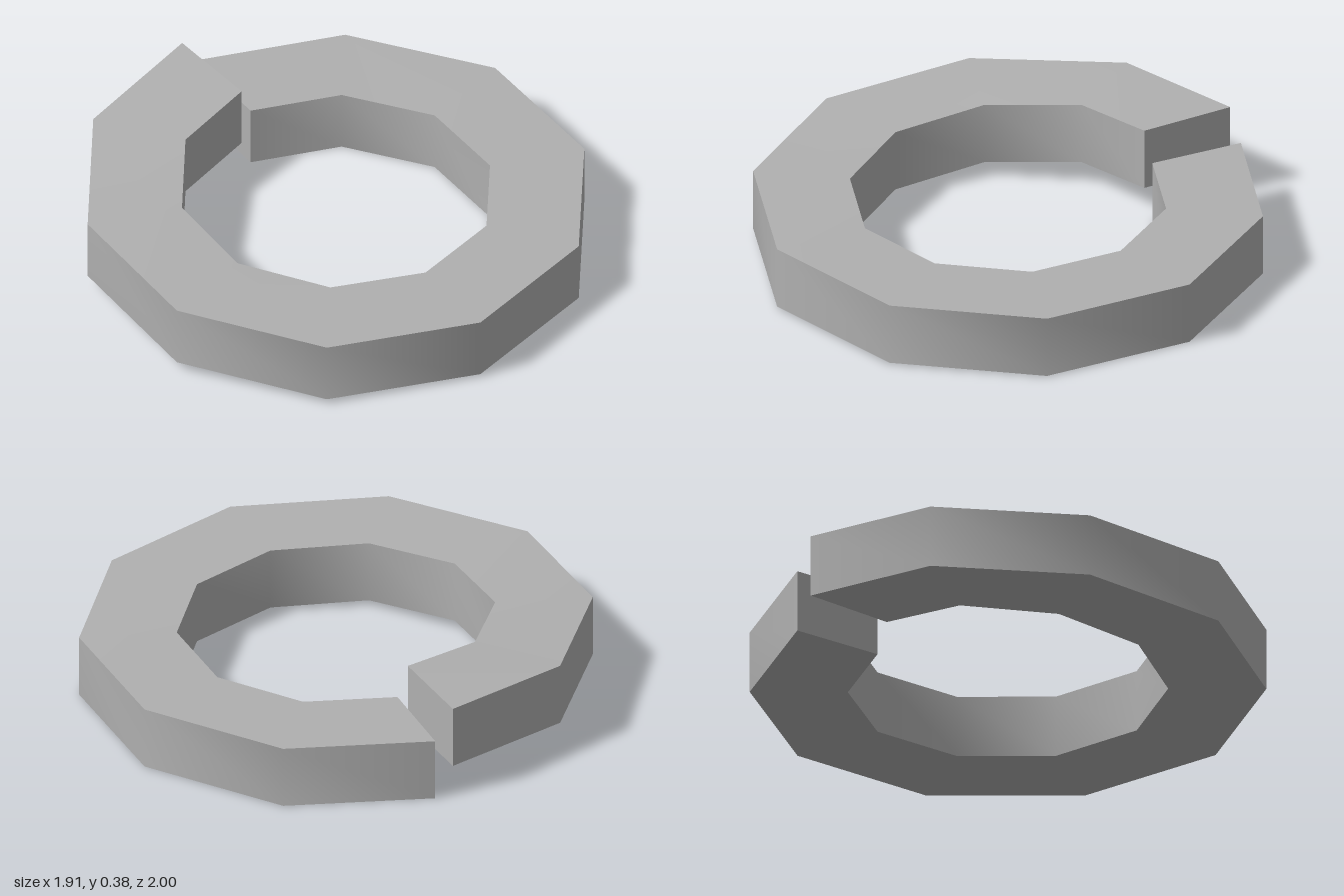
import * as THREE from 'three';

const THICKNESS = 0.253;

// Sections along the split ring: [angle in degrees, height of underside, outer radius, inner radius]
const SECTIONS = [
  [199.5, 0, 0.996, 0.617], [234, 0, 1, 0.62], [270, 0.002, 1, 0.62],
  [306, 0.004, 1, 0.62], [342, 0.007, 1, 0.62], [378, 0.012, 1, 0.62],
  [414, 0.021, 1, 0.62], [450, 0.038, 1, 0.62], [486, 0.063, 1, 0.62],
  [522, 0.098, 1, 0.62], [555, 0.122, 0.99, 0.608],
];

// Four corners of a section: outer bottom, outer top, inner top, inner bottom
function corners([deg, y, outer, inner]) {
  const a = THREE.MathUtils.degToRad(deg);
  const at = (r, h) => [r * Math.cos(a), h, r * Math.sin(a)];
  return [at(outer, y), at(outer, y + THICKNESS), at(inner, y + THICKNESS), at(inner, y)];
}

function ringGeometry() {
  const rings = SECTIONS.map(corners);
  const positions = [], index = [];

  // Each side is its own strip, so it is smooth along the ring and sharp at its edges
  for (let k = 0; k < 4; k++) {
    const base = positions.length / 3;
    rings.forEach((ring, i) => {
      positions.push(...ring[k], ...ring[(k + 1) % 4]);
      if (i === rings.length - 1) return;
      const p = base + 2 * i;
      index.push(p, p + 1, p + 3, p, p + 3, p + 2);
    });
  }

  // Flat end faces at the split
  for (const cap of [[...rings[0]].reverse(), rings[rings.length - 1]]) {
    const p = positions.length / 3;
    positions.push(...cap.flat());
    index.push(p, p + 1, p + 2, p, p + 2, p + 3);
  }

  const geometry = new THREE.BufferGeometry();
  geometry.setAttribute('position', new THREE.Float32BufferAttribute(positions, 3));
  geometry.setIndex(index);
  geometry.computeVertexNormals();
  return geometry;
}

export function createModel() {
  const steel = new THREE.MeshStandardMaterial({ color: 0xb0b0b0 });
  steel.name = 'steelGrey';

  const ring = new THREE.Mesh(ringGeometry(), steel);
  ring.name = 'splitRing';

  const group = new THREE.Group();
  group.name = 'springWasher';
  group.add(ring);
  return group;
}
